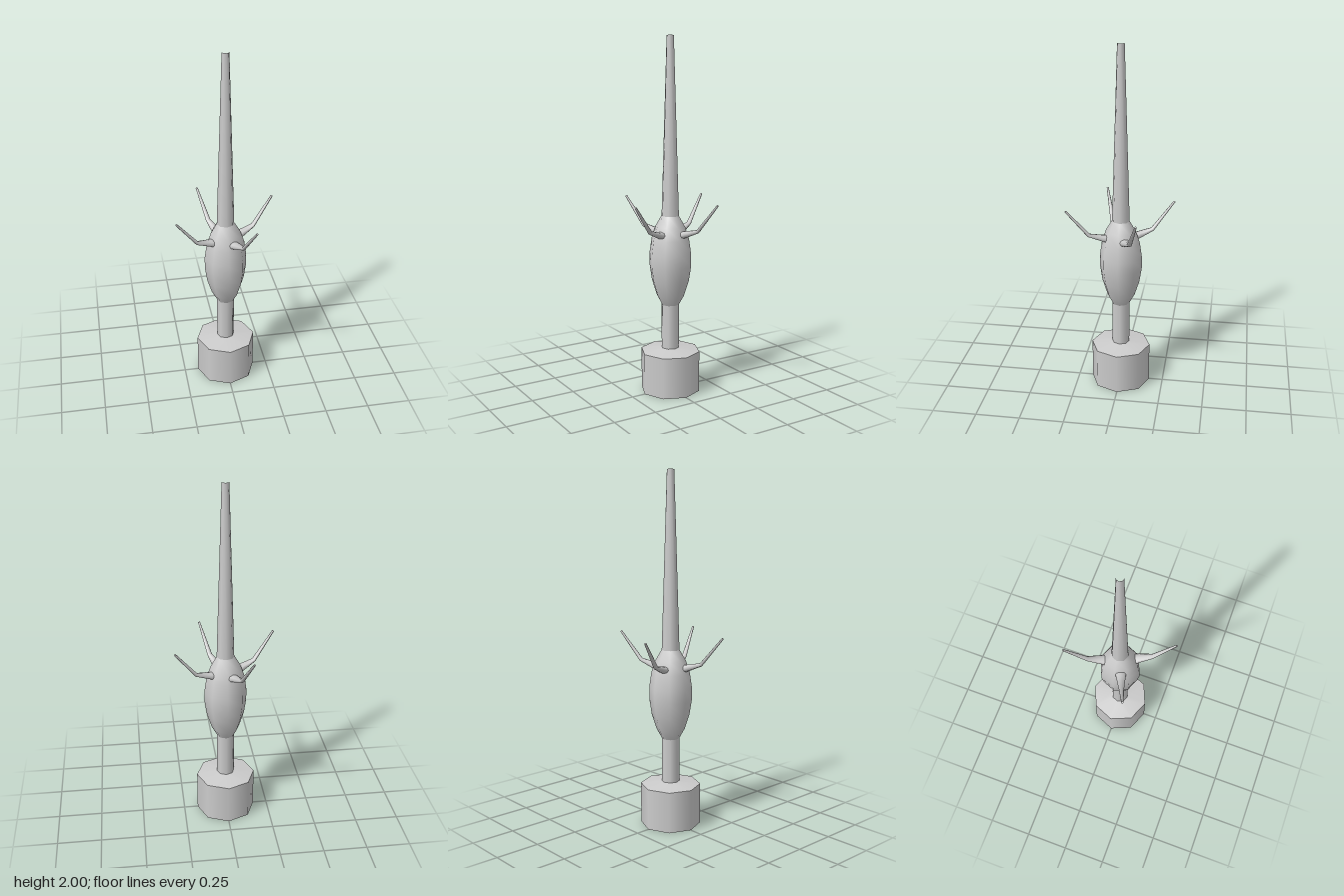
import * as THREE from 'three';

const SIDES = 8;
const material = new THREE.MeshStandardMaterial({ color: 0xcccccc });

function addMesh(parent, name, geometry) {
  const mesh = new THREE.Mesh(geometry, material);
  mesh.name = name;
  parent.add(mesh);
  return mesh;
}

// Eight-sided turned part from [radius, height] pairs, listed bottom to top
function turned(profile) {
  return new THREE.LatheGeometry(profile.map(([r, y]) => new THREE.Vector2(r, y)), SIDES);
}

// Bent, tapering spike in the xy plane, from oval cross-sections
function spikeGeometry() {
  const ringSides = 8;
  // centre x, centre y, direction angle, half width, half height
  const sections = [
    [0.06, 0.907, 0.22, 0.036, 0.023],
    [0.11, 0.921, 0.26, 0.027, 0.018],
    [0.185, 0.945, 0.6, 0.015, 0.010],
    [0.312, 1.1, 0.88, 0.006, 0.006],
  ];
  const positions = [];
  const index = [];
  sections.forEach(([x, y, angle, w, h], i) => {
    for (let j = 0; j < ringSides; j++) {
      const a = (j / ringSides) * Math.PI * 2;
      const n = h * Math.sin(a);
      positions.push(x + n * Math.sin(angle), y - n * Math.cos(angle), w * Math.cos(a));
      if (i === sections.length - 1) continue;
      const k = (j + 1) % ringSides;
      const p = i * ringSides + j, q = i * ringSides + k;
      index.push(p, q, p + ringSides, q, q + ringSides, p + ringSides);
    }
  });
  const geometry = new THREE.BufferGeometry();
  geometry.setAttribute('position', new THREE.Float32BufferAttribute(positions, 3));
  geometry.setIndex(index);
  geometry.computeVertexNormals();
  return geometry;
}

export function createModel() {
  const group = new THREE.Group();

  // Drum foot: wall, shallow conical top and flat underside
  const foot = new THREE.Group();
  foot.name = 'foot';
  group.add(foot);
  addMesh(foot, 'footWall', turned([[0.17, 0], [0.17, 0.235]]));
  addMesh(foot, 'footTop', turned([[0.17, 0.235], [0.05, 0.252]]));
  addMesh(foot, 'footBottom', new THREE.CircleGeometry(0.17, SIDES).rotateX(Math.PI / 2));

  // Stem, swollen bulb and long open-ended mast
  addMesh(group, 'stem', turned([[0.05, 0.25], [0.05, 0.505]]));
  addMesh(group, 'bulb', turned([
    [0.05, 0.505], [0.08, 0.56], [0.107, 0.645], [0.12, 0.73],
    [0.12, 0.8], [0.108, 0.885], [0.085, 0.955], [0.05, 1.015],
  ]));
  addMesh(group, 'mast', turned([[0.05, 1.0], [0.02, 2.0]]));

  // Four spikes around the bulb, each with a closed tip
  const spike = spikeGeometry();
  const tip = new THREE.CircleGeometry(0.006, 8)
    .rotateY(Math.PI / 2).rotateZ(0.88).translate(0.312, 1.1, 0);
  for (let i = 0; i < 4; i++) {
    const arm = new THREE.Group();
    arm.name = 'spike' + (i + 1);
    arm.rotation.y = Math.PI / 8 + (i * Math.PI) / 2;
    addMesh(arm, 'spikeShaft', spike);
    addMesh(arm, 'spikeTip', tip);
    group.add(arm);
  }
  return group;
}
